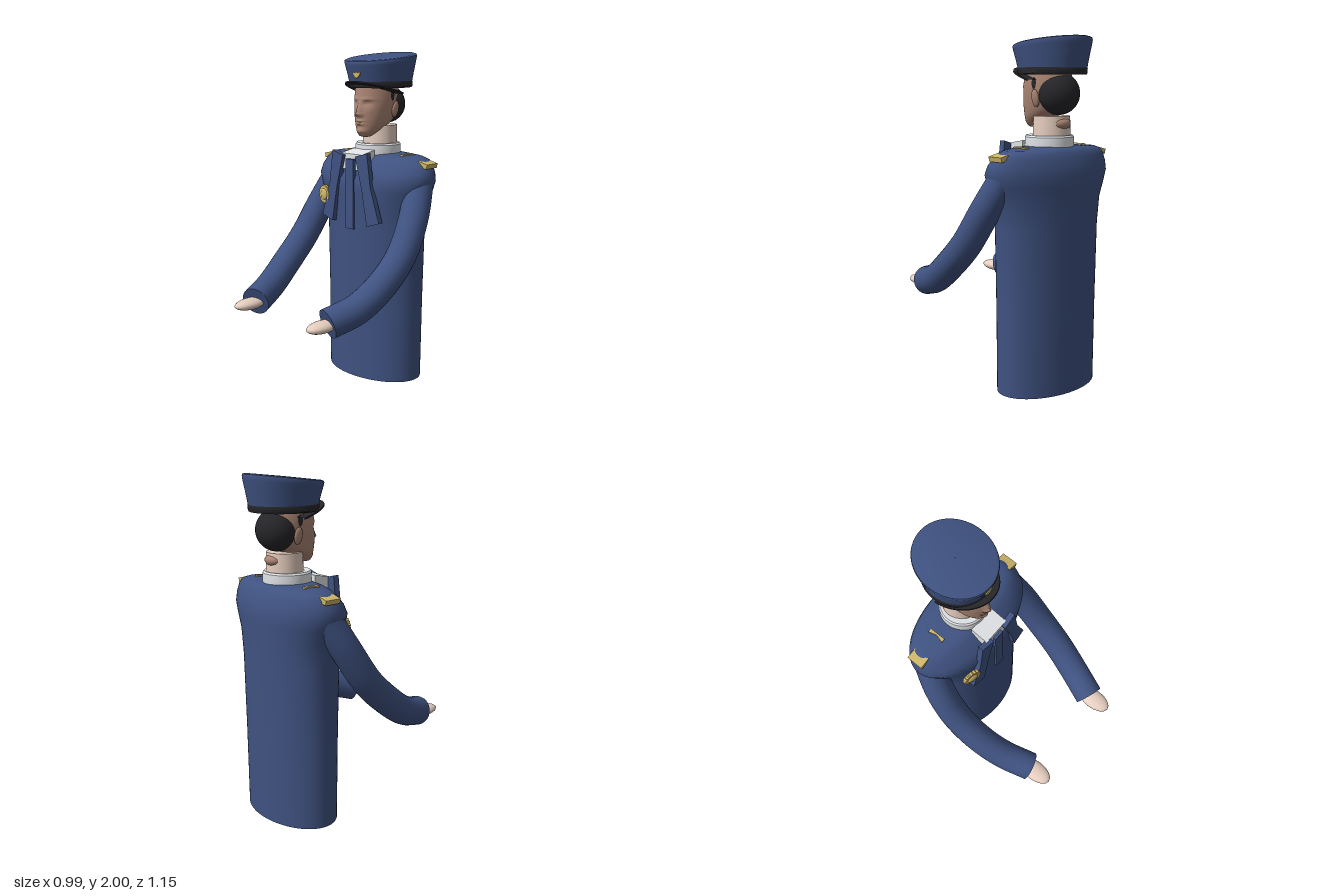
import * as THREE from 'three';
import { toCreasedNormals } from 'three/addons/utils/BufferGeometryUtils.js';

const mat = (name, color, side = THREE.FrontSide) => {
  const m = new THREE.MeshStandardMaterial({ color, side });
  m.name = name;
  return m;
};

// Stacked ellipses: rows of [y, radiusX, radiusZ, centreZ], bottom to top
function loft(rows, { seg = 48, steps = 0, crease = 0.6, warp } = {}) {
  if (steps) {
    const a = new THREE.CatmullRomCurve3(rows.map(r => new THREE.Vector3(r[0], r[1], r[2])));
    const b = new THREE.CatmullRomCurve3(rows.map(r => new THREE.Vector3(r[0], r[3], 0)));
    rows = Array.from({ length: steps + 1 }, (_, i) => {
      const p = a.getPoint(i / steps), q = b.getPoint(i / steps);
      return [p.x, p.y, p.z, q.y];
    });
  }
  const pos = [], idx = [];
  rows.forEach(([y, rx, rz, cz], i) => {
    for (let j = 0; j < seg; j++) {
      const t = (j / seg) * Math.PI * 2;
      const v = new THREE.Vector3(rx * Math.sin(t), y, cz + rz * Math.cos(t));
      if (warp) warp(v, Math.cos(t));
      pos.push(v.x, v.y, v.z);
      if (i === rows.length - 1) continue;
      const a = i * seg + j, b = i * seg + (j + 1) % seg;
      idx.push(a, b, b + seg, a, b + seg, a + seg);
    }
  });
  const g = new THREE.BufferGeometry();
  g.setAttribute('position', new THREE.Float32BufferAttribute(pos, 3));
  g.setIndex(idx);
  return toCreasedNormals(g, crease);
}

const polygon = pts => new THREE.Shape(pts.map(p => new THREE.Vector2(p[0], p[1])));
const slab = (pts, depth) => new THREE.ExtrudeGeometry(polygon(pts), { depth, bevelEnabled: false });
const bump = (v, c, w) => Math.exp(-(((v - c) / w) ** 2));

export function createModel() {
  const model = new THREE.Group();
  const navy = mat('navy cloth', 0x3f5281);
  const black = mat('black', 0x26262a);
  const gold = mat('gold', 0xcdb568);
  const white = mat('white linen', 0xe2e5e8);
  const pale = mat('pale skin', 0xe6cebf);
  const tan = mat('face skin', 0xab8673);

  const add = (name, geo, material, x = 0, y = 0, z = 0, parent = model) => {
    const m = new THREE.Mesh(geo, material);
    m.name = name;
    m.position.set(x, y, z);
    parent.add(m);
    return m;
  };
  const ball = (name, material, c, r, w = 24, h = 16) => {
    const m = add(name, new THREE.SphereGeometry(1, w, h), material, ...c);
    m.scale.set(...r);
    return m;
  };

  // Coat body with closed hem and sloping shoulders
  add('coat', loft([
    [0, 0.001, 0.001, -0.315], [0, 0.335, 0.215, -0.315], [0.5, 0.338, 0.221, -0.315],
    [0.95, 0.345, 0.229, -0.315], [1.1, 0.365, 0.232, -0.315], [1.19, 0.405, 0.235, -0.315],
    [1.25, 0.427, 0.236, -0.315], [1.3, 0.42, 0.216, -0.323], [1.345, 0.4, 0.187, -0.335],
    [1.372, 0.375, 0.165, -0.343], [1.386, 0.33, 0.15, -0.345], [1.4, 0.15, 0.12, -0.34],
    [1.401, 0.001, 0.001, -0.34],
  ], { seg: 64 }), navy);

  // Arms, hands, neckcloth sides and shoulder boards, mirrored
  for (const s of [1, -1]) {
    const side = s > 0 ? 'left' : 'right';
    const path = new THREE.CatmullRomCurve3([
      [0.333, 1.235, -0.32], [0.383, 1.05, -0.215], [0.405, 0.85, -0.08],
      [0.397, 0.7, 0.085], [0.362, 0.592, 0.25], [0.305, 0.535, 0.422],
    ].map(p => new THREE.Vector3(p[0] * s, p[1], p[2])));
    add(side + 'Sleeve', new THREE.TubeGeometry(path, 32, 0.088, 24), navy);
    ball(side + 'Shoulder', navy, path.getPoint(0).toArray(), [0.088, 0.088, 0.088]);
    const end = path.getPoint(1);
    const cuff = add(side + 'CuffEnd', new THREE.CircleGeometry(0.088, 24), navy, end.x, end.y, end.z);
    cuff.lookAt(end.clone().add(path.getTangent(1)));
    ball(side + 'Hand', pale, [0.306 * s, 0.53, 0.465], [0.061, 0.033, 0.11], 16, 12);

    // Hanging end of the neckcloth
    const strip = [[0.048, 1.395], [0.138, 1.42], [0.165, 1.22], [0.232, 1.012], [0.14, 0.982], [0.1, 1.2]]
      .map(p => [p[0] * s, p[1]]);
    const flap = add(side + 'NeckclothEnd', slab(strip, 0.035), navy, 0, 0, -0.098);
    flap.rotation.y = 0.06 * s;

    // Shoulder board: notched outer tip and narrow inner strip
    const tip = [[0.035, -0.05], [0.035, 0.05], [-0.035, 0.05], [-0.012, 0], [-0.035, -0.05]].map(p => [p[0] * s, p[1]]);
    const inner = [[0.012, -0.05], [0.012, 0.05], [-0.012, 0.05], [0.002, 0], [-0.012, -0.05]].map(p => [-p[0] * s, p[1]]);
    const outerTip = add(side + 'ShoulderBoardTip', slab(tip, 0.028), gold, 0.386 * s, 1.367, -0.336);
    outerTip.rotation.set(Math.PI / 2, -0.24 * s, 0);
    const strip2 = add(side + 'ShoulderBoardInner', slab(inner, 0.02), gold, 0.228 * s, 1.402, -0.336);
    strip2.rotation.set(Math.PI / 2, -0.1 * s, 0);

    // Ear
    const ear = ball(side + 'Ear', tan, [0.125 * s, 1.665, -0.342], [0.014, 0.05, 0.027], 14, 12);
    ear.rotation.z = -0.2 * s;
  }

  // Centre strip of the neckcloth, shirt front, collar and neck
  add('neckclothCentre', new THREE.BoxGeometry(0.064, 0.425, 0.025), navy, 0, 1.163, -0.083);
  const shirt = add('shirtFront', slab([[0.09, 1.31], [0.2, 1.36], [0.2, 1.425], [0.09, 1.405]], 0.17), white, 0.085, 0, 0);
  shirt.rotation.y = Math.PI / 2;
  shirt.position.x = -0.085;
  add('collar', loft([
    [1.36, 0.137, 0.137, -0.33], [1.385, 0.14, 0.14, -0.33], [1.45, 0.138, 0.138, -0.33],
    [1.46, 0.13, 0.13, -0.33], [1.458, 0.1, 0.1, -0.335],
  ]), white);
  add('neck', new THREE.CylinderGeometry(0.103, 0.108, 0.2, 32), pale, 0, 1.467, -0.347);
  ball('nape', tan, [0, 1.525, -0.42], [0.06, 0.035, 0.047]);

  // Head: a loft whose front is pushed into brow, nose, lips and chin
  const face = (v, front) => {
    if (front < 0.2) return;
    const ax = Math.abs(v.x), y = v.y;
    const ridge = y > 1.635 ? Math.max(0, 1 - (y - 1.635) / 0.085) : Math.max(0, 1 - (1.635 - y) / 0.018);
    v.z += 0.034 * ridge * bump(ax, 0, 0.017)
      + 0.01 * bump(ax, 0.018, 0.012) * bump(y, 1.633, 0.011)
      - 0.016 * bump(ax, 0.045, 0.025) * bump(y, 1.697, 0.018)
      + 0.009 * bump(ax, 0.045, 0.016) * bump(y, 1.69, 0.011)
      + 0.006 * bump(ax, 0.045, 0.04) * bump(y, 1.727, 0.01)
      + 0.011 * bump(ax, 0, 0.03) * (bump(y, 1.597, 0.008) + bump(y, 1.578, 0.008))
      - 0.006 * bump(ax, 0, 0.035) * bump(y, 1.587, 0.004)
      + 0.01 * bump(ax, 0, 0.03) * bump(y, 1.537, 0.015);
  };
  add('head', loft([
    [1.498, 0.002, 0.002, -0.215], [1.503, 0.032, 0.03, -0.212], [1.525, 0.056, 0.062, -0.228],
    [1.56, 0.083, 0.1, -0.262], [1.6, 0.1, 0.132, -0.29], [1.65, 0.112, 0.148, -0.305],
    [1.7, 0.119, 0.151, -0.312], [1.75, 0.12, 0.15, -0.315], [1.81, 0.115, 0.145, -0.315],
  ], { seg: 72, steps: 64, crease: 1.2, warp: face }), tan);
  ball('hair', black, [0, 1.69, -0.4], [0.122, 0.118, 0.114], 32, 24);
  for (const s of [1, -1]) ball('sideburn', black, [0.108 * s, 1.745, -0.322], [0.016, 0.045, 0.024], 12, 10);

  // Cap: tilted crown, dark band and upturned peak
  add('capCrown', loft([
    [1.825, 0.184, 0.2, -0.348], [1.88, 0.194, 0.212, -0.348], [1.945, 0.207, 0.229, -0.347],
    [1.963, 0.21, 0.232, -0.347], [1.972, 0.207, 0.229, -0.347], [1.977, 0.195, 0.215, -0.347],
    [1.979, 0.001, 0.001, -0.347],
  ], {
    seg: 64, warp: v => { v.y -= ((v.y - 1.825) / 0.15) * 0.115 * (v.z + 0.347); },
  }), navy);
  add('capBand', loft([
    [1.793, 0.001, 0.001, -0.348], [1.793, 0.183, 0.197, -0.348], [1.8, 0.188, 0.2, -0.348],
    [1.826, 0.188, 0.203, -0.348], [1.838, 0.183, 0.198, -0.348],
  ], { seg: 64 }), black);
  const peak = add('capPeak', new THREE.CylinderGeometry(1, 1, 1, 48, 1, false, -Math.PI / 2, Math.PI),
    black, 0, 1.762, -0.345);
  peak.scale.set(0.186, 0.009, 0.252);
  peak.rotation.x = -0.28;

  // Winged cap ornament
  const wings = [[0, 1.85], [0.014, 1.858], [0.026, 1.87], [0.031, 1.886], [0.012, 1.88], [0, 1.885],
    [-0.012, 1.88], [-0.031, 1.886], [-0.026, 1.87], [-0.014, 1.858]];
  add('capOrnament', slab(wings, 0.009), gold, 0, 0, -0.138);

  // Scalloped breast rosette
  const petals = Array.from({ length: 32 }, (_, i) => {
    const r = i % 2 ? 0.052 : 0.059, a = (i / 32) * Math.PI * 2;
    return [r * Math.cos(a), r * Math.sin(a)];
  });
  const rosette = add('rosette', slab(petals, 0.022), gold, -0.222, 1.135, -0.104);
  rosette.rotation.y = -0.24;
  const boss = ball('rosetteBoss', gold, [-0.227, 1.135, -0.083], [0.036, 0.036, 0.012]);
  boss.rotation.y = -0.24;

  return model;
}
